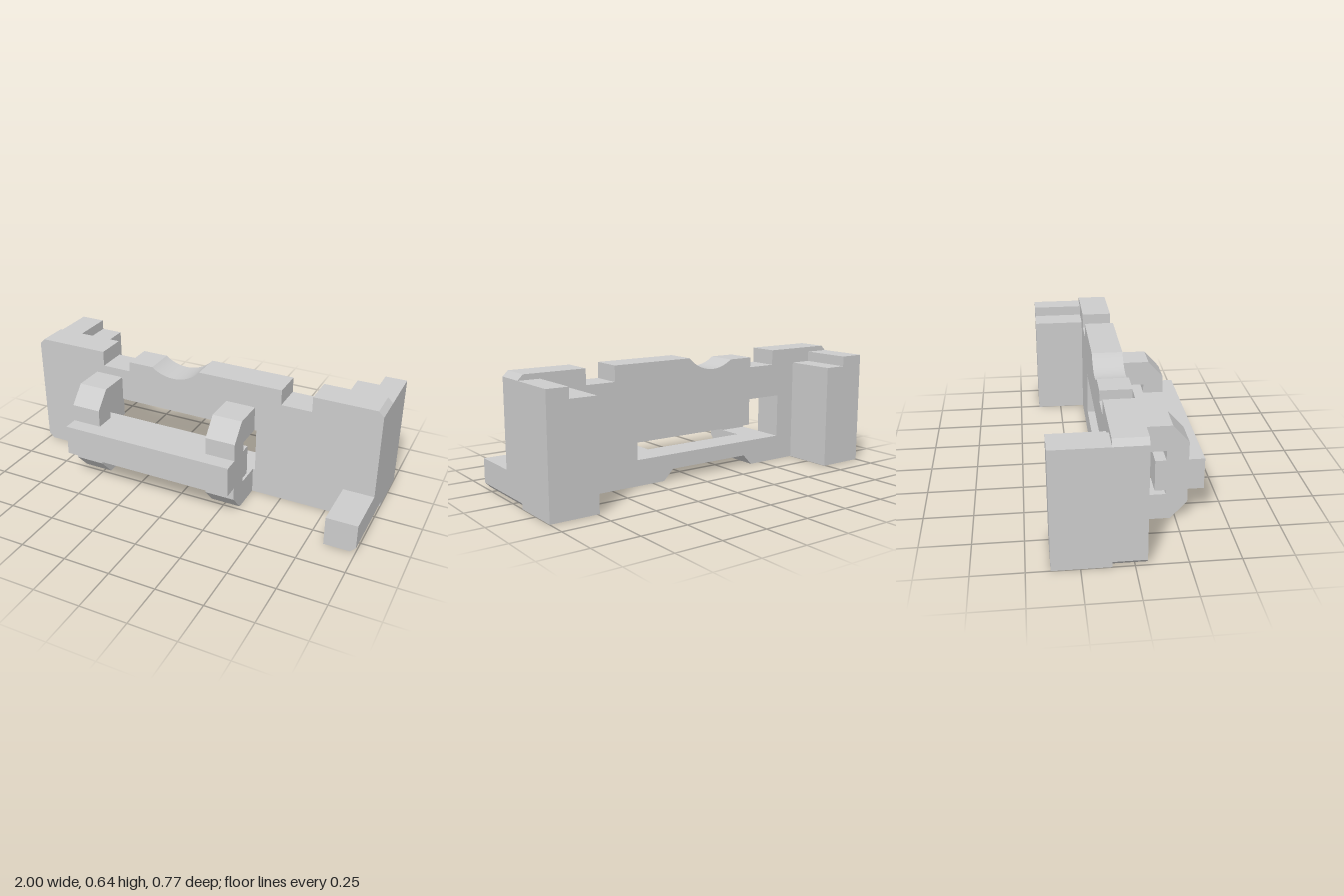
import * as THREE from 'three';

const material = new THREE.MeshStandardMaterial({ color: 0xcccccc, flatShading: true });

function outline(points) {
  return new THREE.Shape(points.map(([a, b]) => new THREE.Vector2(a, b)));
}

function extrude(shape, depth) {
  return new THREE.ExtrudeGeometry(shape, { depth, bevelEnabled: false, curveSegments: 28 });
}

export function createModel() {
  const group = new THREE.Group();
  const add = (name, geometry) => {
    const mesh = new THREE.Mesh(geometry, material);
    mesh.name = name;
    group.add(mesh);
  };

  // Box given by its limits on each axis
  const addBox = (name, [x0, x1], [y0, y1], [z0, z1]) => {
    const g = new THREE.BoxGeometry(x1 - x0, y1 - y0, z1 - z0);
    add(name, g.translate((x0 + x1) / 2, (y0 + y1) / 2, (z0 + z1) / 2));
  };

  const back = -0.106, front = 0.058, top = 0.645, c = 0.028;

  // Main plate: chamfered corners, notched top edge, relieved bottom edge
  const plate = outline([
    [-1, c], [-1 + c, 0], [-0.43, 0], [-0.375, 0.058], [0.12, 0.058], [0.178, 0],
    [1 - c, 0], [1, c], [1, top - c], [1 - c, top],
    [0.64, top], [0.64, 0.562], [0.475, 0.562], [0.475, top], [0.01, top],
  ]);
  // Scooped dip in the top edge
  const cx = -0.145, cy = 0.782, r = 0.207;
  plate.absarc(cx, cy, r, Math.atan2(top - cy, 0.01 - cx), Math.atan2(0.617 - cy, -0.27 - cx), true);
  for (const [x, y] of [[-0.413, 0.617], [-0.413, 0.562], [-0.578, 0.562], [-0.578, top], [-1 + c, top], [-1, top - c]]) {
    plate.lineTo(x, y);
  }
  // Long window
  plate.holes.push(outline([[-0.625, 0.14], [-0.625, 0.38], [0.345, 0.38], [0.345, 0.14]]));
  add('mainPlate', extrude(plate, front - back).translate(0, 0, back));

  // Rear posts, stepped down towards the middle
  const postDepth = 0.28;
  for (const [name, side, step] of [['leftRearPost', 1, 0.885], ['rightRearPost', -1, 0.863]]) {
    let points = [[0.74, 0], [1, 0], [1, 0.617], [step, 0.617], [step, 0.562], [0.74, 0.562]];
    points = points.map(([x, y]) => [x * side, y]);
    add(name, extrude(outline(points), postDepth).translate(0, 0, back - postDepth));
  }

  // C-shaped hooks on the front, drawn in z and y
  const hook = outline([
    [front, 0], [0.225, 0], [0.308, 0.093], [0.308, 0.422], [0.225, 0.515], [front, 0.515],
    [front, 0.38], [0.198, 0.38], [0.198, 0.14], [front, 0.14],
  ]);
  for (const [name, x1] of [['leftHook', 0.333], ['rightHook', -0.464]]) {
    add(name, extrude(hook, 0.162).rotateY(-Math.PI / 2).translate(x1, 0, 0));
  }

  // Bar joining the hooks
  addBox('crossBar', [-0.626, 0.333], [0.163, 0.328], [0.143, 0.388]);

  // Foot at the front corner, chamfered along its outer lower edge
  const foot = outline([[0.835, 0], [1 - c, 0], [1, c], [1, 0.158], [0.835, 0.158]]);
  add('frontFoot', extrude(foot, 0.335 - front).translate(0, 0, front));

  return group;
}
